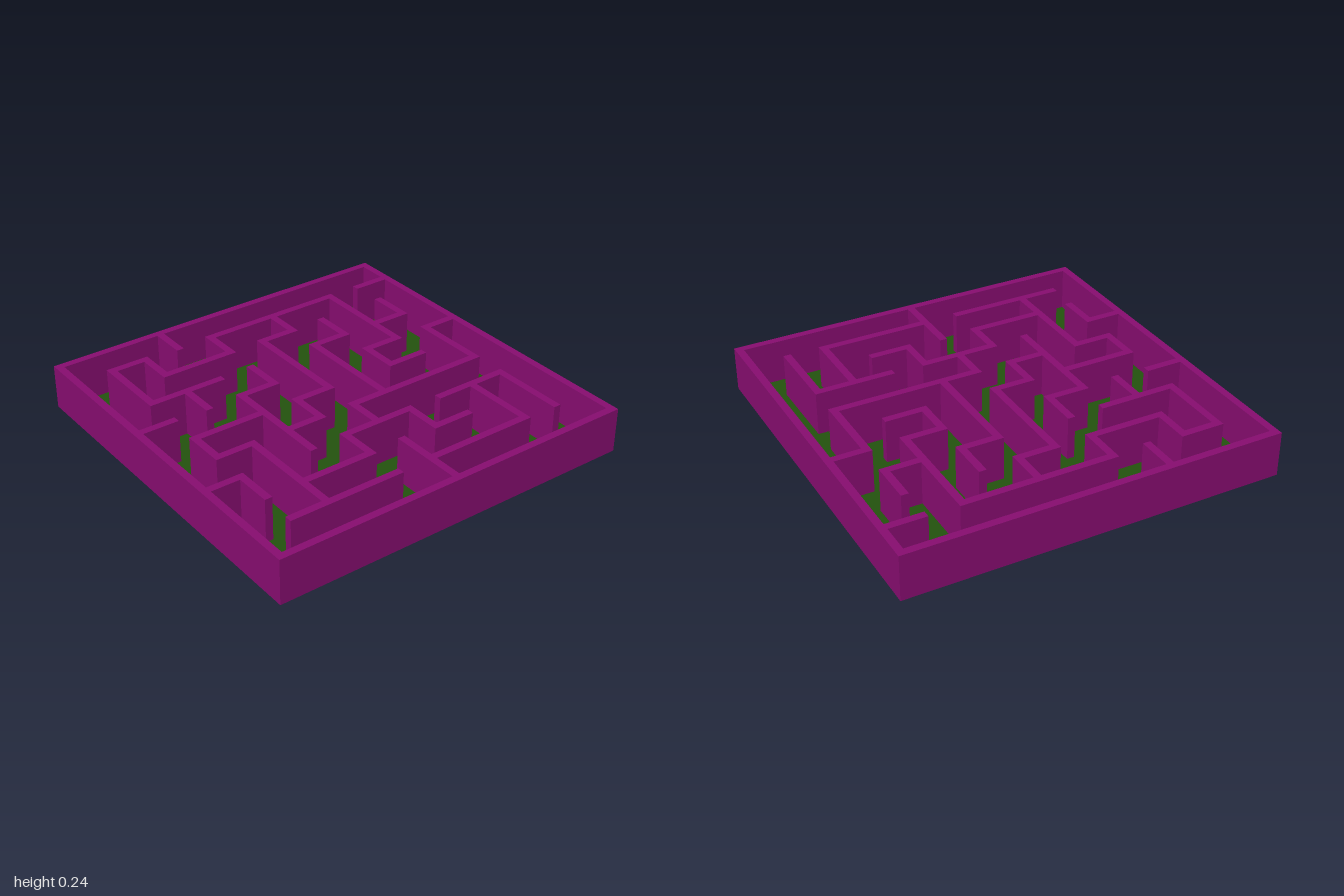
import * as THREE from 'three';

const CELLS = 10;
const WALL = 0.04;
const HEIGHT = 0.24;
const PITCH = (2 - WALL) / CELLS;
const at = (k) => (k - CELLS / 2) * PITCH;

// Walls along x: for each grid row (back to front), pairs of start and end columns
const ROWS = [
  [[0, 10]],
  [[1, 2], [4, 8], [9, 10]],
  [[2, 4], [5, 6]],
  [[1, 3], [6, 7], [8, 9]],
  [[0, 1], [3, 4], [7, 8], [9, 10]],
  [[1, 3], [4, 5], [7, 8]],
  [[1, 2], [3, 4], [5, 9]],
  [[0, 1], [4, 6], [7, 9]],
  [[2, 4], [6, 7]],
  [[1, 4], [5, 8]],
  [[0, 10]],
];

// Walls along z: for each grid column (-x to +x), pairs of start and end rows
const COLUMNS = [
  [[0, 10]],
  [[1, 3], [5, 6], [7, 8]],
  [[1, 2], [3, 4], [6, 9]],
  [[0, 1], [4, 7]],
  [[1, 2], [3, 4], [5, 6], [7, 8]],
  [[2, 5], [6, 7], [8, 10]],
  [[1, 2], [3, 6], [7, 8]],
  [[2, 3], [4, 5]],
  [[1, 4], [7, 9]],
  [[2, 3], [4, 6], [7, 9]],
  [[0, 10]],
];

export function createModel() {
  const model = new THREE.Group();
  model.name = 'maze';
  const wallMaterial = new THREE.MeshStandardMaterial({ color: 0x870d70 });
  const floorMaterial = new THREE.MeshStandardMaterial({ color: 0x23520e });

  // Thin floor, set just above the underside of the walls
  const floor = new THREE.Mesh(new THREE.BoxGeometry(2 - WALL, 0.006, 2 - WALL), floorMaterial);
  floor.name = 'floor';
  floor.position.y = 0.005;
  model.add(floor);

  // Walls, each reaching half a thickness past its end grid points
  const outerWalls = new THREE.Group();
  outerWalls.name = 'outerWalls';
  const innerWalls = new THREE.Group();
  innerWalls.name = 'innerWalls';
  model.add(outerWalls, innerWalls);

  const addWall = (line, [start, end], alongX) => {
    const length = (end - start) * PITCH + WALL;
    const middle = at((start + end) / 2);
    const geometry = new THREE.BoxGeometry(alongX ? length : WALL, HEIGHT, alongX ? WALL : length);
    const wall = new THREE.Mesh(geometry, wallMaterial);
    const outer = line === 0 || line === CELLS;
    wall.name = outer ? 'outerWall' : 'innerWall';
    wall.position.set(alongX ? middle : at(line), HEIGHT / 2, alongX ? at(line) : middle);
    (outer ? outerWalls : innerWalls).add(wall);
  };
  ROWS.forEach((spans, row) => spans.forEach((span) => addWall(row, span, true)));
  COLUMNS.forEach((spans, column) => spans.forEach((span) => addWall(column, span, false)));

  return model;
}
